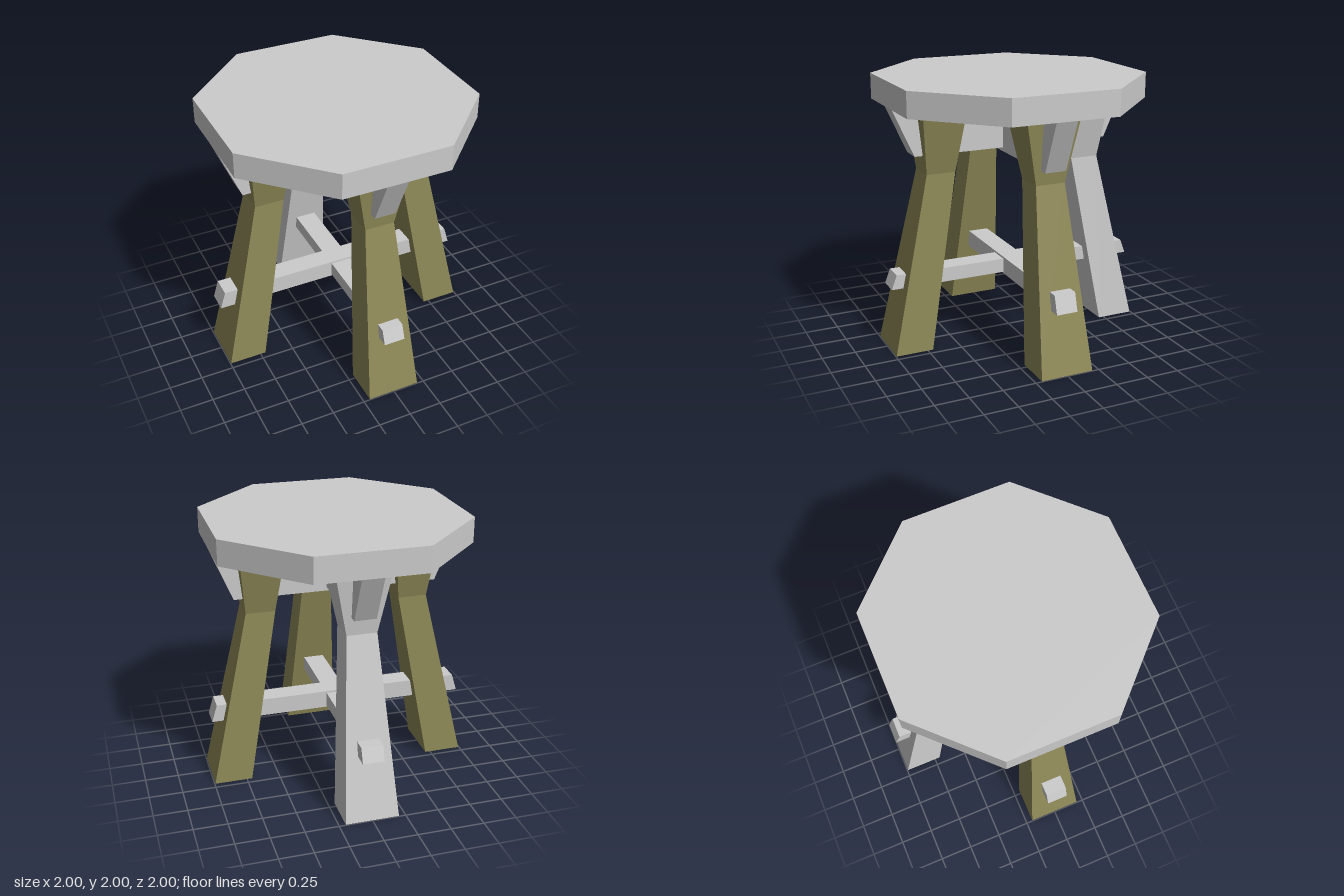
import * as THREE from 'three';

const grey = new THREE.MeshStandardMaterial({ color: 0xcccccc, flatShading: true });
const olive = new THREE.MeshStandardMaterial({ color: 0x8e8957, flatShading: true });

// Leg sections from floor to seat: height, half width, inner and outer distance from the centre
const LEG = [
  { y: 0, w: 0.2, inner: 0.71, outer: 0.995 },
  { y: 1.325, w: 0.112, inner: 0.475, outer: 0.695 },
  { y: 1.81, w: 0.208, inner: 0.41, outer: 0.747 },
];

function legGeometry() {
  const geo = new THREE.BoxGeometry(2, 2, 2, 1, 2, 1);
  const p = geo.attributes.position;
  for (let i = 0; i < p.count; i++) {
    const s = LEG[Math.round(p.getY(i)) + 1];
    p.setXYZ(i, p.getX(i) * s.w, s.y, p.getZ(i) > 0 ? s.outer : s.inner);
  }
  geo.computeVertexNormals();
  return geo;
}

// Plank along x with slanted ends, given as [x, y] corners
function plankGeometry(corners, width) {
  const shape = new THREE.Shape(corners.map(([x, y]) => new THREE.Vector2(x, y)));
  return new THREE.ExtrudeGeometry(shape, { depth: width, bevelEnabled: false })
    .translate(0, 0, -width / 2);
}

export function createModel() {
  const group = new THREE.Group();
  const add = (name, geo, material, turn = 0) => {
    const mesh = new THREE.Mesh(geo, material);
    mesh.name = name;
    mesh.rotation.y = turn;
    group.add(mesh);
  };

  // Eight-sided seat
  const R = 0.928, C = 0.402;
  const outline = [[R, -C], [R, C], [C, R], [-C, R], [-R, C], [-R, -C], [-C, -R], [C, -R]];
  const seat = new THREE.ExtrudeGeometry(
    new THREE.Shape(outline.map(([x, z]) => new THREE.Vector2(x, z))),
    { depth: 0.19, bevelEnabled: false });
  seat.rotateX(-Math.PI / 2).translate(0, 1.81, 0);
  add('seat', seat, grey);

  // Four splayed legs, the back one grey
  const leg = legGeometry();
  ['frontLeg', 'leftLeg', 'backLeg', 'rightLeg'].forEach((name, i) =>
    add(name, leg, name === 'backLeg' ? grey : olive, i * Math.PI / 2));

  // Crossed bearers under the seat and crossed stretchers through the legs
  const bearer = (y) => plankGeometry([[-0.77, y], [0.77, y], [0.928, 1.81], [-0.928, 1.81]], 0.16);
  const stretcher = (y0, y1) =>
    plankGeometry([[-1, y0], [0.975, y0], [0.935, y1], [-0.96, y1]], 0.16);
  add('sideBearer', bearer(1.43), grey);
  add('frontBackBearer', bearer(1.46), grey, -Math.PI / 2);
  add('sideStretcher', stretcher(0.467, 0.6), grey);
  add('frontBackStretcher', stretcher(0.477, 0.585), grey, -Math.PI / 2);

  return group;
}
